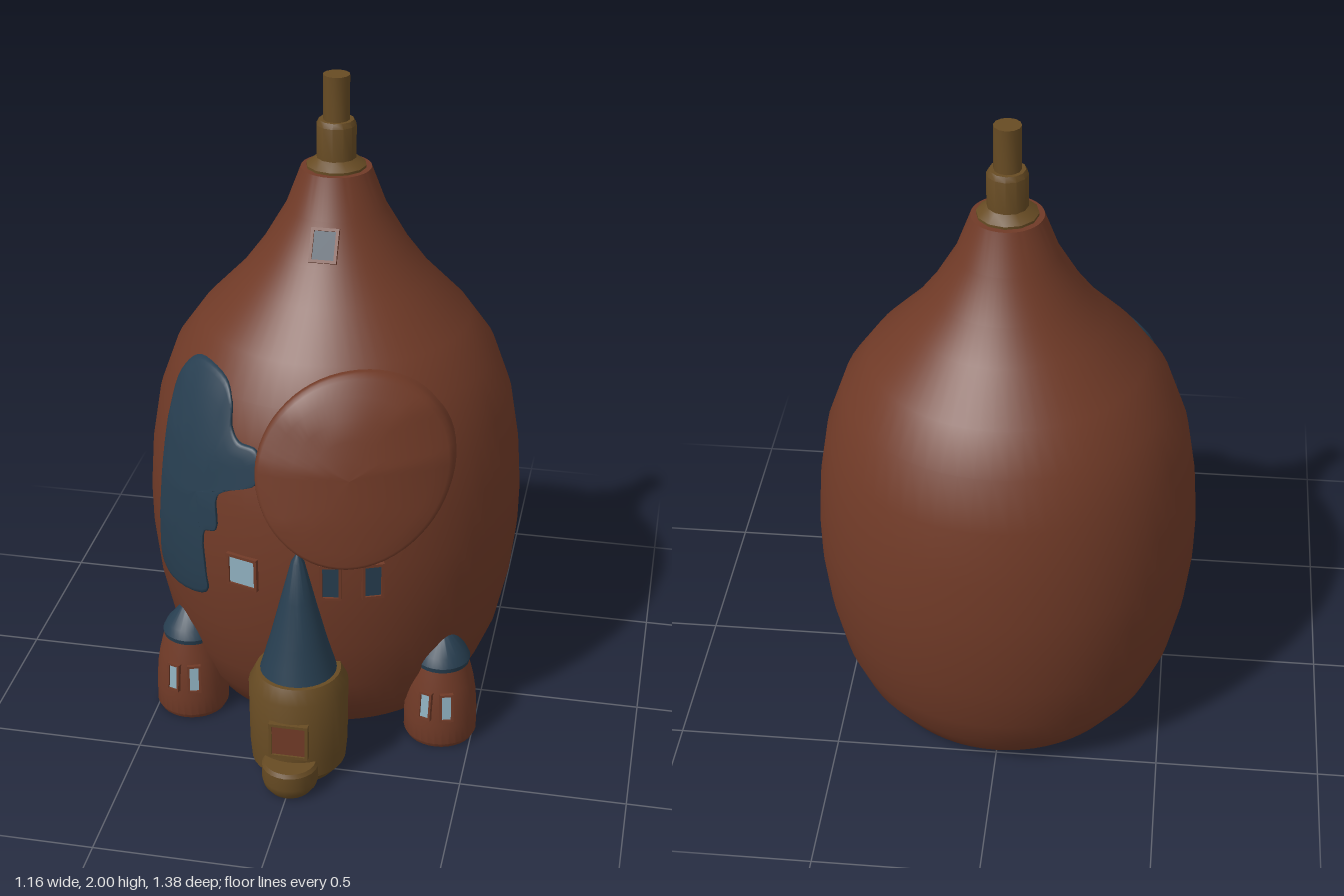
import * as THREE from 'three';
import { toCreasedNormals } from 'three/addons/utils/BufferGeometryUtils.js';

const material = (name, color) => {
  const m = new THREE.MeshStandardMaterial({ color });
  m.name = name;
  return m;
};

const AXIS_Z = -0.11; // centre line of the big body
const BODY = [[0, 0], [0.36, 0], [0.41, 0.03], [0.48, 0.13], [0.525, 0.24], [0.56, 0.4], [0.578, 0.56],
  [0.58, 0.68], [0.57, 0.83], [0.542, 1.0], [0.488, 1.15], [0.41, 1.26], [0.29, 1.385], [0.22, 1.48],
  [0.15, 1.6], [0.105, 1.72], [0, 1.722]];

// Radius and slope of the body at a height
function bodyAt(y) {
  let i = 2;
  while (i < BODY.length - 2 && BODY[i][1] < y) i++;
  const [r0, y0] = BODY[i - 1], [r1, y1] = BODY[i];
  const slope = (r1 - r0) / (y1 - y0);
  return { r: r0 + slope * (y - y0), slope };
}

function lathe(name, profile, mat, segments = 32, crease = 0.5) {
  const geo = new THREE.LatheGeometry(profile.map(p => new THREE.Vector2(...p)), segments);
  const mesh = new THREE.Mesh(toCreasedNormals(geo, crease), mat);
  mesh.name = name;
  return mesh;
}

// Raised plate that hugs the body; the outline runs clockwise as seen from the front
function patch(name, outline, cx, cy, height, mat) {
  const rings = [[1, -0.03], [1, height * 0.5], [0.985, height * 0.85], [0.95, height], [0.8, height],
    [0.6, height], [0.4, height], [0.2, height], [0, height]];
  const n = outline.length, pos = [], index = [];
  rings.forEach(([s, lift], k) => outline.forEach((p, i) => {
    const x = cx + (p.x - cx) * s, y = cy + (p.y - cy) * s;
    const r = bodyAt(y).r + lift;
    pos.push(x, y, AXIS_Z + Math.sqrt(Math.max(r * r - x * x, 0)));
    if (k === rings.length - 1) return;
    const a = k * n + i, b = k * n + (i + 1) % n;
    index.push(a, a + n, b, b, a + n, b + n);
  }));
  const geo = new THREE.BufferGeometry();
  geo.setAttribute('position', new THREE.Float32BufferAttribute(pos, 3));
  geo.setIndex(index);
  geo.computeVertexNormals();
  const mesh = new THREE.Mesh(geo, mat);
  mesh.name = name;
  return mesh;
}

// Framed pane facing +z, centred on the wall surface
function framedPane(name, w, h, frameMat, paneMat, border = 0.009) {
  const rect = (P, a, b) => new P([[-a, -b], [a, -b], [a, b], [-a, b]].map(p => new THREE.Vector2(...p)));
  const shape = rect(THREE.Shape, w / 2 + border, h / 2 + border);
  shape.holes.push(rect(THREE.Path, w / 2, h / 2));
  const frame = new THREE.Mesh(new THREE.ExtrudeGeometry(shape, { depth: 0.024, bevelEnabled: false }), frameMat);
  frame.position.z = -0.014;
  frame.name = 'windowFrame';
  const pane = new THREE.Mesh(new THREE.BoxGeometry(w, h, 0.008), paneMat);
  pane.name = 'windowPane';
  const group = new THREE.Group();
  group.name = name;
  group.add(frame, pane);
  return group;
}

export function createModel() {
  const brown = material('russet wall', 0x703a27);
  const gold = material('ochre wood', 0x674b23);
  const blue = material('slate blue', 0x273e50);
  const pale = material('pale glass', 0x8fb0bf);
  const model = new THREE.Group();
  model.name = 'gourdHouse';

  // Body and chimney
  const body = lathe('body', BODY, brown, 64);
  const chimney = lathe('chimney', [[0, 1.7], [0.09, 1.7], [0.09, 1.728], [0.06, 1.75], [0.06, 1.85],
    [0.052, 1.865], [0.04, 1.865], [0.04, 2], [0, 2]], gold, 12, 0.6);
  body.position.z = chimney.position.z = AXIS_Z;
  model.add(body, chimney);

  // Round hatch and irregular blue panel
  const circle = Array.from({ length: 64 }, (_, i) => {
    const a = -i / 64 * Math.PI * 2;
    return new THREE.Vector2(0.145 + 0.28 * Math.cos(a), 0.973 + 0.28 * Math.sin(a));
  });
  model.add(patch('roundHatch', circle, 0.145, 0.973, 0.024, brown));

  const edge = [[-0.35, 1.205], [-0.25, 1.19], [-0.22, 1.14], [-0.215, 1.075], [-0.19, 1.04], [-0.135, 1.03],
    [-0.12, 0.98], [-0.13, 0.93], [-0.2, 0.9], [-0.255, 0.86], [-0.26, 0.75], [-0.3, 0.73], [-0.3, 0.59],
    [-0.3, 0.515], [-0.44, 0.475], [-0.48, 0.5], [-0.487, 0.6], [-0.475, 0.81], [-0.455, 1.0], [-0.42, 1.14]];
  const curve = new THREE.CatmullRomCurve3(edge.map(([x, y]) => new THREE.Vector3(x, y, 0)), true);
  model.add(patch('bluePanel', curve.getPoints(100).slice(0, 100), -0.33, 0.85, 0.013, blue));

  // Body windows, turned to follow the wall
  [['upperWindow', 0, 1.54, 0.065, 0.085, blue], ['squareWindow', -0.173, 0.637, 0.085, 0.09, pale],
    ['slotWindow', 0.095, 0.643, 0.048, 0.1, blue], ['slotWindow', 0.215, 0.643, 0.048, 0.1, blue],
  ].forEach(([name, x, y, w, h, mat]) => {
    const { r, slope } = bodyAt(y);
    const z = Math.sqrt(r * r - x * x);
    const win = framedPane(name, w, h, brown, mat);
    win.position.set(x, y, AXIS_Z + z);
    win.rotation.set(Math.atan(slope), Math.atan2(x, z), 0, 'YXZ');
    model.add(win);
  });

  // Side turrets
  for (const side of [-1, 1]) {
    const turret = new THREE.Group();
    turret.name = side > 0 ? 'leftTurret' : 'rightTurret';
    turret.position.set(side * 0.398, 0, 0.225);
    turret.add(
      lathe('turretWall', [[0, 0], [0.105, 0], [0.113, 0.015], [0.113, 0.08], [0.108, 0.15], [0.1, 0.2],
        [0.085, 0.262], [0, 0.265]], brown),
      lathe('turretRoof', [[0, 0.25], [0.084, 0.252], [0.088, 0.275], [0.075, 0.302], [0.03, 0.358],
        [0.012, 0.37], [0, 0.372]], blue));
    for (const s of [-1, 1]) {
      const a = s * 0.3;
      const win = framedPane('turretWindow', 0.028, 0.08, brown, pale, 0.007);
      win.position.set(Math.sin(a) * 0.108, 0.15, Math.cos(a) * 0.108);
      win.rotation.set(-0.1, a, 0, 'YXZ');
      turret.add(win);
    }
    model.add(turret);
  }

  // Front tower with door hatch and step
  const tower = new THREE.Group();
  tower.name = 'frontTower';
  tower.position.z = 0.475;
  const door = framedPane('doorHatch', 0.1, 0.1, gold, brown);
  door.position.set(0, 0.177, 0.148);
  const step = lathe('doorStep', [[0, 0], [0.065, 0], [0.08, 0.02], [0.085, 0.04], [0.085, 0.085],
    [0.078, 0.097], [0, 0.097]], gold, 24);
  step.position.z = 0.13;
  tower.add(
    lathe('towerWall', [[0, 0], [0.115, 0], [0.143, 0.035], [0.148, 0.09], [0.15, 0.3], [0.128, 0.345],
      [0, 0.348]], gold),
    lathe('towerRoof', [[0, 0.34], [0.116, 0.342], [0.105, 0.38], [0.085, 0.45], [0.05, 0.59], [0.02, 0.71],
      [0, 0.745]], blue),
    door, step);
  model.add(tower);
  return model;
}
